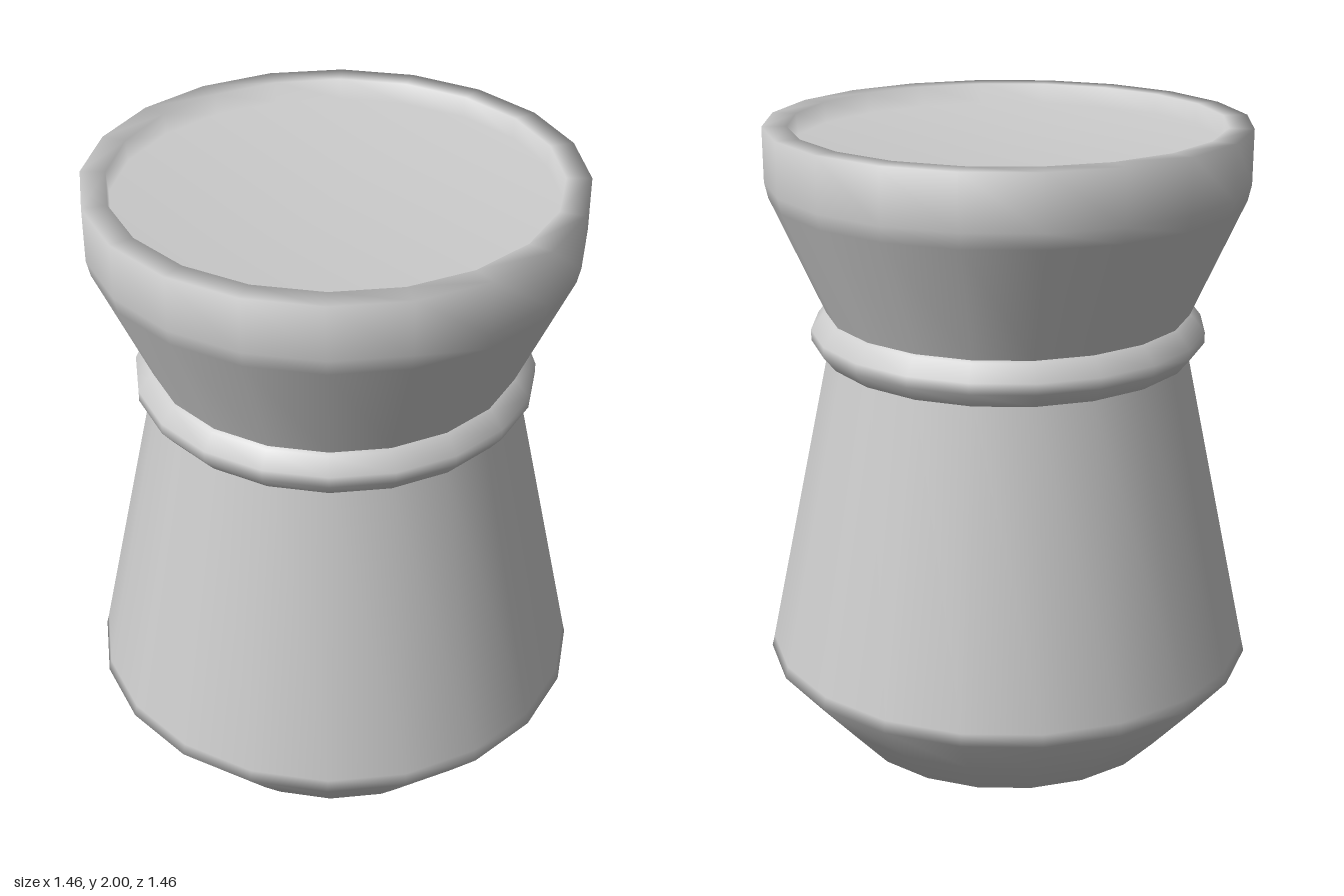
import * as THREE from 'three';

const SIDES = 20;

export function createModel() {
  const group = new THREE.Group();
  const material = new THREE.MeshStandardMaterial({ color: 0xcccccc, side: THREE.DoubleSide });

  // Turned part from a profile of [radius, height] points, listed along the outside upwards
  const turned = (name, profile) => {
    const points = profile.map(([r, y]) => new THREE.Vector2(r, y));
    const mesh = new THREE.Mesh(new THREE.LatheGeometry(points, SIDES), material);
    mesh.name = name;
    group.add(mesh);
  };

  // Tapered body with a rounded bottom
  turned('body', [
    [0, 0], [0.15, 0], [0.33, 0.05], [0.5, 0.14], [0.62, 0.275],
    [0.73, 0.405], [0.722, 0.44], [0.53, 1.335], [0.525, 1.36],
  ]);

  // Raised collar around the neck
  turned('collar', [
    [0.52, 1.325], [0.54, 1.335], [0.575, 1.378], [0.575, 1.41], [0.54, 1.455], [0.52, 1.465],
  ]);

  // Flared head with a straight rim and a shallow recessed top
  turned('head', [
    [0.525, 1.43], [0.53, 1.46], [0.68, 1.8], [0.69, 1.845], [0.69, 2],
    [0.62, 2], [0.615, 1.94], [0, 1.94],
  ]);

  return group;
}
